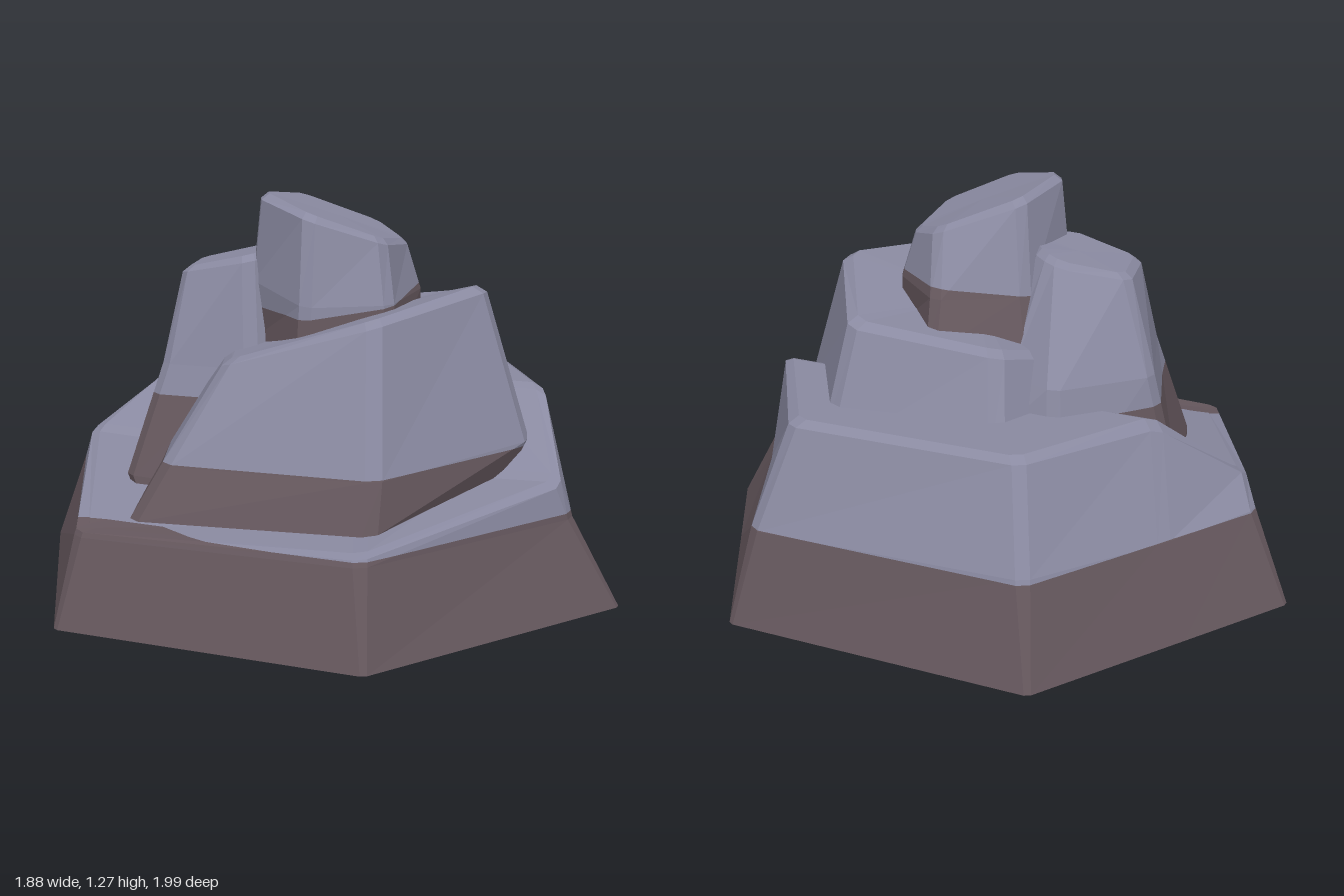
import * as THREE from 'three';

const V = ([x, y, z]) => new THREE.Vector3(x, y, z);

// Cut every corner of a closed ring back by a distance t
function chamfer(ring, t) {
  const out = [];
  ring.forEach((p, i) => {
    const prev = ring[(i + ring.length - 1) % ring.length];
    const next = ring[(i + 1) % ring.length];
    for (const q of [prev, next]) out.push(p.clone().lerp(q, t / p.distanceTo(q)));
  });
  return out;
}

const centroid = (ring) => ring.reduce((s, p) => s.add(p), new THREE.Vector3()).divideScalar(ring.length);

// Inset a ring towards its centre and lift it, giving the worn top edge
function inset(ring, k, lift) {
  const c = centroid(ring);
  return ring.map((p) => new THREE.Vector3(c.x + (p.x - c.x) * k, p.y + lift, c.z + (p.z - c.z) * k));
}

// Join rings from bottom to top and close the top with a fan
function loft(rings) {
  const tris = [];
  for (let r = 0; r < rings.length - 1; r++) {
    const a = rings[r], b = rings[r + 1];
    for (let i = 0; i < a.length; i++) {
      const j = (i + 1) % a.length;
      tris.push([a[i], a[j], b[j]], [a[i], b[j], b[i]]);
    }
  }
  const top = rings[rings.length - 1], c = centroid(top);
  top.forEach((p, i) => tris.push([c, p, top[(i + 1) % top.length]]));
  return tris;
}

// Keep the part of each triangle above (sign 1) or below (sign -1) a tilted plane
function clip(tris, [h, kx, kz], sign) {
  const side = (p) => (p.y - h - kx * p.x - kz * p.z) * sign;
  const pos = [];
  for (const t of tris) {
    const poly = [];
    t.forEach((p, i) => {
      const q = t[(i + 1) % 3], dp = side(p), dq = side(q);
      if (dp >= 0) poly.push(p);
      if (dp * dq < 0) poly.push(p.clone().lerp(q, dp / (dp - dq)));
    });
    for (let i = 1; i < poly.length - 1; i++) {
      for (const p of [poly[0], poly[i], poly[i + 1]]) pos.push(p.x, p.y, p.z);
    }
  }
  const g = new THREE.BufferGeometry();
  g.setAttribute('position', new THREE.Float32BufferAttribute(pos, 3));
  g.computeVertexNormals();
  return g;
}

export function createModel() {
  const opts = { flatShading: true, side: THREE.DoubleSide };
  const stone = new THREE.MeshStandardMaterial({ name: 'greyStone', color: 0x8a8aa1, ...opts });
  const earth = new THREE.MeshStandardMaterial({ name: 'brownStone', color: 0x66585e, ...opts });
  const model = new THREE.Group();
  model.name = 'rockPile';

  // A rock is open underneath, brown below the split plane and grey above
  function addRock(name, rings, split) {
    const tris = loft(rings);
    const rock = new THREE.Group();
    rock.name = name;
    const lower = new THREE.Mesh(clip(tris, split, -1), earth);
    const upper = new THREE.Mesh(clip(tris, split, 1), stone);
    lower.name = name + 'Foot';
    upper.name = name + 'Body';
    rock.add(lower, upper);
    model.add(rock);
  }

  // All rings run right, back, left, front.
  // The base has a plateau behind and a low ledge in front, joined by a straight slope
  const baseRings = [
    [[.94, 0, .38], [.887, 0, 0], [.8, 0, -.63], [-.15, 0, -1], [-.6, 0, -.647], [-.94, 0, -.38], [-.8, 0, .63], [.14, 0, 1]],
    [[.79, .285, .37], [.766, .3, 0], [.73, .3, -.58], [-.13, .32, -.9], [-.54, .3, -.58], [-.83, .31, -.34], [-.74, .275, .57], [.13, .29, .91]],
    [[.75, .39, .38], [.72, .625, .06], [.61, .62, -.51], [-.11, .62, -.76], [-.51, .61, -.43], [-.8, .4, -.28], [-.735, .29, .565], [.13, .31, .9]],
    [[.72, .41, .37], [.69, .64, .04], [.58, .64, -.49], [-.1, .64, -.73], [-.49, .64, -.4], [-.77, .41, -.25], [-.7, .294, .53], [.13, .32, .86]],
    [[.5, .4, .28], [.5, .64, -.03], [.42, .64, -.34], [-.05, .64, -.48], [-.28, .64, -.32], [-.45, .4, -.12], [-.42, .33, .37], [.13, .33, .6]],
    [[.06, .4, .1], [.06, .64, -.2], [.06, .64, -.24], [.04, .64, -.25], [.02, .64, -.21], [.02, .4, .08], [.02, .37, .2], [.05, .37, .21]],
  ].map((r, i) => chamfer(r.map(V), [.012, .025, .025, .025, .025, .004][i]));
  addRock('baseRock', baseRings, [.304, 0, 0]);

  // Broad middle rock
  const midRings = [
    [[.62, .38, .22], [.53, .33, -.44], [-.03, .33, -.62], [-.55, .33, -.2], [-.575, .32, .55], [.16, .33, .74]],
    [[.665, .5, .23], [.53, .5, -.43], [-.03, .5, -.56], [-.47, .5, -.2], [-.48, .48, .5], [.17, .48, .69]],
    [[.53, .96, .14], [.45, .87, -.31], [-.02, .82, -.42], [-.31, .73, -.15], [-.3, .77, .41], [.17, .91, .52]],
  ].map((r) => chamfer(r.map(V), .03));
  midRings.push(inset(midRings[2], .92, .02));
  addRock('middleRock', midRings, [.485, 0, 0]);

  // Narrow rock on the side, flaring towards a foot that sinks through the base
  const sideRings = [
    [[.21, .15, .11], [.25, .15, -.29], [-.19, .15, -.52], [-.62, .15, -.26], [-.53, .15, .27], [-.18, .15, .49]],
    [[.2, .36, .14], [.2, .36, -.33], [-.2, .36, -.5], [-.58, .37, -.28], [-.625, .37, .2], [-.2, .36, .36]],
    [[.04, .72, .1], [-.03, .72, -.28], [-.19, .72, -.42], [-.5, .72, -.27], [-.51, .72, .13], [-.22, .72, .22]],
    [[-.08, 1.07, 0], [-.13, 1.06, -.15], [-.2, 1.04, -.2], [-.42, 1.0, -.18], [-.455, 1, .04], [-.23, 1.05, .14]],
  ].map((r) => chamfer(r.map(V), .025));
  sideRings.push(inset(sideRings[3], .87, .02));
  addRock('sideRock', sideRings, [.625, 0, 0]);

  // Slanted rock at the summit
  const topRings = [
    [[.32, .8, 0], [.2, .8, -.32], [-.12, .8, -.26], [-.23, .8, .08], [-.06, .8, .36], [.23, .8, .3]],
    [[.325, .95, 0], [.19, .95, -.26], [-.1, .95, -.21], [-.23, .99, .09], [-.05, .94, .345], [.22, .94, .29]],
    [[.28, 1.09, 0], [.19, 1.13, -.15], [-.08, 1.22, -.13], [-.205, 1.25, .1], [-.04, 1.2, .29], [.2, 1.12, .24]],
  ].map((r) => chamfer(r.map(V), .025));
  topRings.push(inset(topRings[2], .9, .02));
  addRock('topRock', topRings, [.94, .1, -.1]);

  return model;
}
